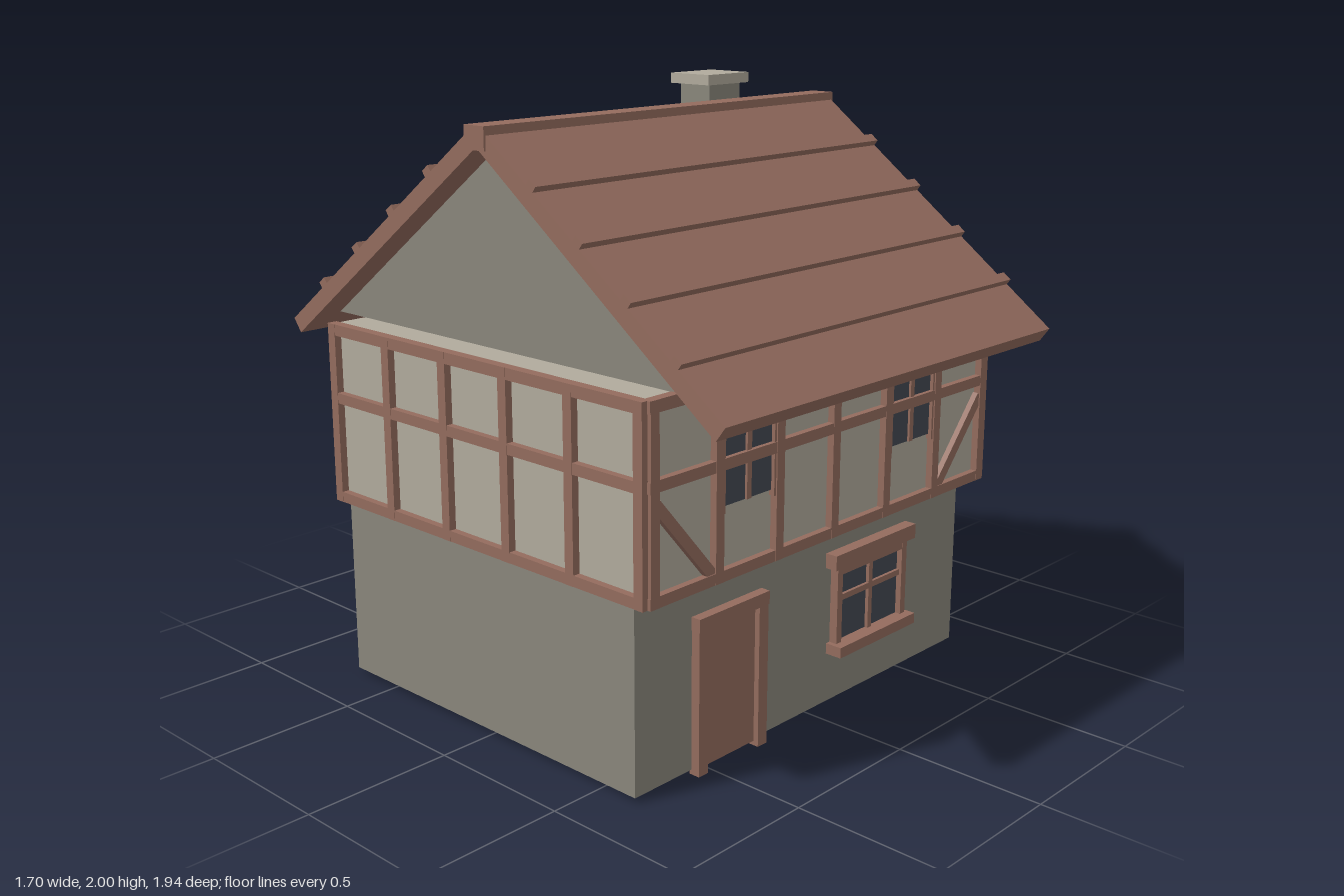
import * as THREE from 'three';

const mat = (name, color) => {
  const m = new THREE.MeshStandardMaterial({ color });
  m.name = name;
  return m;
};

export function createModel() {
  const wood = mat('reddish wood', 0x946c5e);
  const plaster = mat('plaster', 0xb1ab9d);
  const stone = mat('grey stone', 0x8a877c);
  const glass = mat('dark glass', 0x434852);

  const model = new THREE.Group();
  model.name = 'timberHouse';

  // Box from its limits on each axis
  const box = (name, m, [x0, x1], [y0, y1], [z0, z1], parent = model) => {
    const mesh = new THREE.Mesh(new THREE.BoxGeometry(x1 - x0, y1 - y0, z1 - z0), m);
    mesh.position.set((x0 + x1) / 2, (y0 + y1) / 2, (z0 + z1) / 2);
    mesh.name = name;
    parent.add(mesh);
    return mesh;
  };
  const group = (name, parent = model) => {
    const g = new THREE.Group();
    g.name = name;
    parent.add(g);
    return g;
  };

  // Storeys
  box('groundFloor', stone, [-0.807, 0.805], [0.02, 0.64], [-0.695, 0.637]);
  box('floorPlate', wood, [-0.825, 0.825], [0.635, 0.668], [-0.712, 0.71]);
  box('upperFloor', plaster, [-0.825, 0.825], [0.668, 1.238], [-0.7, 0.7]);

  // Horizontal rails shared by the front and side frames
  const rails = [[0.635, 0.67], [0.975, 1.01], [1.203, 1.24]];
  const w = 0.0175;

  // Front timber frame
  const front = group('frontFrame');
  const fz = [0.69, 0.724];
  for (let i = -3; i <= 3; i++) {
    const x = i * 0.27;
    box('frontPost', wood, [x - w, x + w], [0.635, 1.24], fz, front);
  }
  for (const y of rails) box('frontRail', wood, [-0.83, 0.83], y, [0.69, 0.723], front);
  for (const s of [-1, 1]) {
    // Corner brace
    const dx = -0.235, dy = -0.27;
    const brace = new THREE.Mesh(new THREE.BoxGeometry(Math.hypot(dx, dy), 0.036, 0.02), wood);
    brace.position.set(s * 0.682, 0.802, 0.71);
    brace.rotation.z = s * Math.atan2(dy, dx);
    brace.name = 'cornerBrace';
    front.add(brace);

    // Upper window
    const win = group('upperWindow', front);
    win.position.x = s * 0.405;
    box('pane', glass, [-0.112, 0.112], [0.86, 1.075], [0.69, 0.708], win);
    box('head', wood, [-0.12, 0.12], [1.07, 1.102], [0.69, 0.722], win);
    box('mullion', wood, [-0.01, 0.01], [0.86, 1.075], [0.69, 0.716], win);
    for (const j of [-1, 1]) {
      const c = j * 0.115;
      box('jamb', wood, [c - 0.006, c + 0.006], [0.842, 1.1], [0.69, 0.72], win);
    }
  }

  // Side timber frames
  for (const s of [-1, 1]) {
    const side = group(s > 0 ? 'leftFrame' : 'rightFrame');
    const sx = s > 0 ? [0.815, 0.85] : [-0.85, -0.815];
    const rx = s > 0 ? [0.815, 0.849] : [-0.849, -0.815];
    for (let i = 0; i < 6; i++) {
      const z = -0.6945 + i * 0.2778;
      box('sidePost', wood, sx, [0.635, 1.24], [z - w, z + w], side);
    }
    for (const y of rails) box('sideRail', wood, rx, y, [-0.711, 0.711], side);
  }

  // Door
  const door = group('door');
  box('doorLeaf', wood, [-0.53, -0.288], [0.02, 0.475], [0.63, 0.65], door);
  box('doorJamb', wood, [-0.565, -0.525], [0.005, 0.475], [0.63, 0.668], door);
  box('doorJamb', wood, [-0.292, -0.25], [0.005, 0.475], [0.63, 0.668], door);
  box('doorLintel', wood, [-0.566, -0.249], [0.472, 0.515], [0.63, 0.671], door);

  // Ground floor window
  const win = group('lowerWindow');
  box('pane', glass, [0.12, 0.455], [0.22, 0.465], [0.63, 0.646], win);
  box('jamb', wood, [0.1, 0.126], [0.2, 0.5], [0.63, 0.666], win);
  box('jamb', wood, [0.451, 0.477], [0.2, 0.5], [0.63, 0.666], win);
  box('head', wood, [0.1, 0.477], [0.46, 0.5], [0.63, 0.665], win);
  box('mullion', wood, [0.278, 0.298], [0.22, 0.465], [0.63, 0.658], win);
  box('transom', wood, [0.12, 0.455], [0.366, 0.386], [0.63, 0.657], win);
  box('lintel', wood, [0.072, 0.504], [0.49, 0.54], [0.63, 0.68], win);
  box('sill', wood, [0.083, 0.492], [0.19, 0.226], [0.63, 0.697], win);

  // Gable walls, set in from the roof ends
  const tri = new THREE.Shape([[-0.835, 1.238], [0.835, 1.238], [0, 1.86]].map(p => new THREE.Vector2(...p)));
  for (const s of [-1, 1]) {
    const geo = new THREE.ExtrudeGeometry(tri, { depth: 0.03, bevelEnabled: false });
    geo.translate(0, 0, -0.015).rotateY(Math.PI / 2);
    const gable = new THREE.Mesh(geo, stone);
    gable.position.x = s * 0.695;
    gable.name = 'gable';
    model.add(gable);
  }

  // Roof slopes, each built up from its eave
  for (const s of [1, -1]) {
    const half = group(s > 0 ? 'frontRoof' : 'backRoof');
    if (s < 0) half.rotation.y = Math.PI;
    const slope = group('slope', half);
    slope.position.set(0, 1.21, 0.97);
    slope.rotation.x = Math.atan(0.743);
    box('roofSlab', wood, [-0.803, 0.803], [-0.056, 0], [-1.195, 0], slope);
    for (let i = 0; i < 4; i++) {
      const d = -0.228 - i * 0.233;
      box('roofBatten', wood, [-0.803, 0.803], [-0.01, 0.022], [d - 0.017, d + 0.017], slope);
    }
  }
  box('ridgeBeam', wood, [-0.81, 0.81], [1.853, 1.925], [-0.044, 0.044]);

  // Chimney
  box('chimney', stone, [0.366, 0.522], [1.6, 1.966], [-0.276, -0.143]);
  box('chimneyCap', plaster, [0.341, 0.548], [1.965, 2], [-0.3, -0.125]);

  return model;
}
